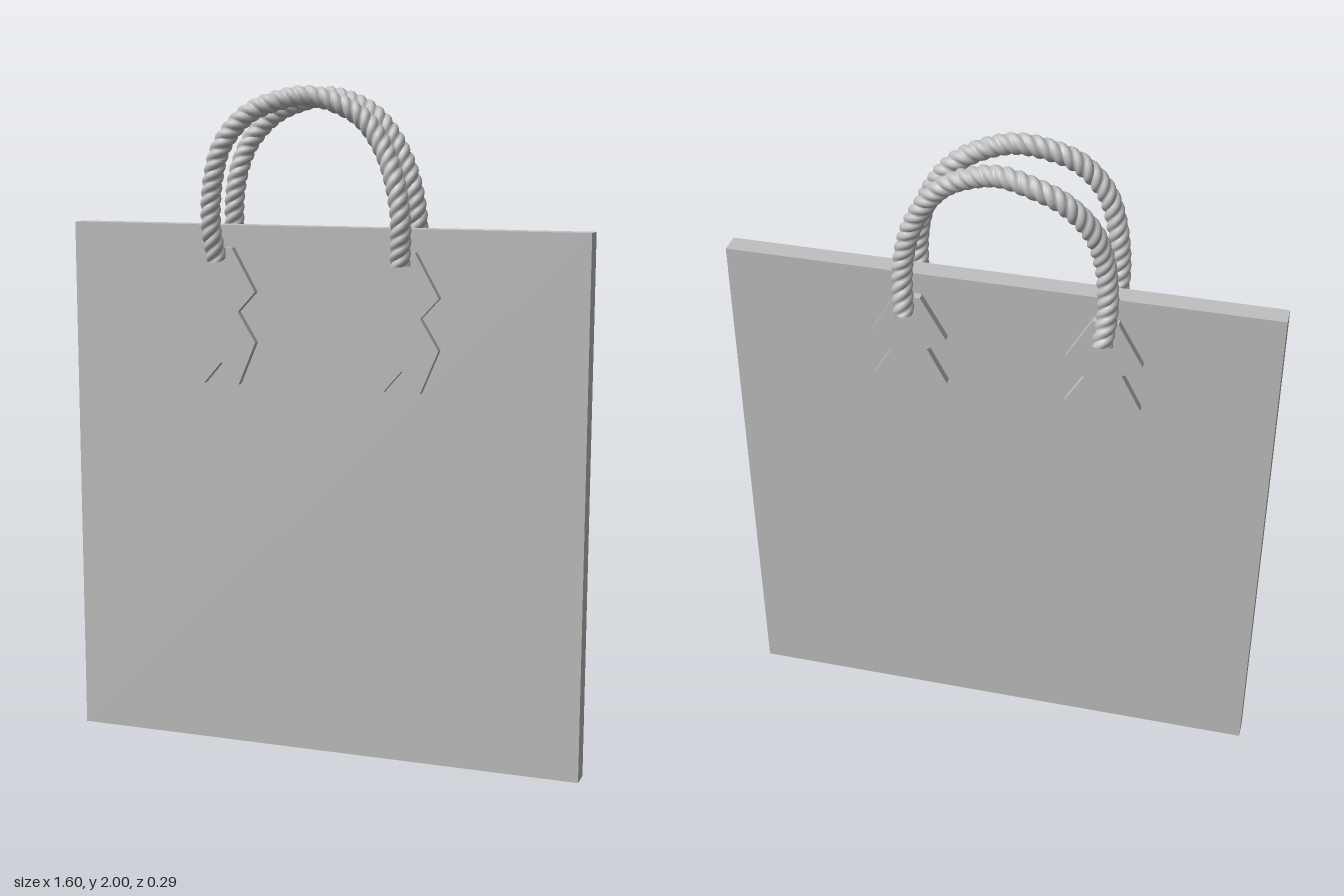
import * as THREE from 'three';

const grey = new THREE.MeshStandardMaterial({ color: 0xc0c0c0 });
grey.name = 'plain grey';

const ROPE_RADIUS = 0.03;
const STRANDS = 3;
const TURNS = 13;

function addMesh(parent, geometry, name) {
  const mesh = new THREE.Mesh(geometry, grey);
  mesh.name = name;
  parent.add(mesh);
  return mesh;
}

// Jagged tag that holds a rope end, running through the panel to both faces
function tagGeometry() {
  const outline = [
    [-0.037, 1.53], [-0.11, 1.4], [-0.053, 1.36], [-0.11, 1.25],
    [-0.056, 1.122], [0, 1.187], [0.056, 1.122],
    [0.11, 1.25], [0.055, 1.34], [0.11, 1.4], [0.037, 1.53],
  ];
  const shape = new THREE.Shape(outline.map(([x, y]) => new THREE.Vector2(x, y)));
  const geometry = new THREE.ExtrudeGeometry(shape, { depth: 0.108, bevelEnabled: false });
  return geometry.translate(0, 0, -0.056);
}

// Rope: a tube whose round section becomes lobed strands twisting along the path
function makeRope(points, name) {
  const rope = new THREE.Group();
  rope.name = name;
  const curve = new THREE.CatmullRomCurve3(points.map((p) => new THREE.Vector3(...p)));
  const segments = 480;
  const sides = 18;
  const geometry = new THREE.TubeGeometry(curve, segments, 1, sides, false);
  const position = geometry.attributes.position;
  const spoke = new THREE.Vector3();
  for (let i = 0; i <= segments; i++) {
    const u = i / segments;
    const centre = curve.getPointAt(u);
    const tangent = curve.getTangentAt(u);
    for (let j = 0; j <= sides; j++) {
      const k = i * (sides + 1) + j;
      const lobe = Math.abs(Math.sin((STRANDS * Math.PI * j) / sides));
      spoke.fromBufferAttribute(position, k).sub(centre).normalize();
      spoke.applyAxisAngle(tangent, u * TURNS * Math.PI * 2);
      spoke.multiplyScalar(ROPE_RADIUS * (0.8 + 0.22 * lobe)).add(centre);
      position.setXYZ(k, spoke.x, spoke.y, spoke.z);
    }
  }
  geometry.computeVertexNormals();
  addMesh(rope, geometry, 'twistedRope');

  // Flat cut ends
  for (const u of [0, 1]) {
    const cap = addMesh(rope, new THREE.CircleGeometry(ROPE_RADIUS * 0.93, sides), 'ropeEnd');
    const outward = curve.getTangentAt(u).multiplyScalar(u ? 1 : -1);
    cap.position.copy(curve.getPointAt(u));
    cap.quaternion.setFromUnitVectors(new THREE.Vector3(0, 0, 1), outward);
  }
  return rope;
}

export function createModel() {
  const model = new THREE.Group();
  model.name = 'carrierBag';

  // Flat bag body
  const body = addMesh(model, new THREE.BoxGeometry(1.595, 1.595, 0.062), 'bagBody');
  body.position.set(-0.002, 0.7975, -0.002);

  // Two tags, showing on the front and the back
  for (const [x, name] of [[-0.31, 'rightTag'], [0.255, 'leftTag']]) {
    addMesh(model, tagGeometry(), name).position.x = x;
  }

  // Arch seen from the front, with its own sway in depth for each handle
  const arch = [
    [-0.313, 1.495], [-0.32, 1.6], [-0.304, 1.735], [-0.27, 1.835], [-0.2, 1.915],
    [-0.12, 1.953], [-0.02, 1.97], [0.07, 1.947], [0.14, 1.905], [0.2, 1.83],
    [0.243, 1.735], [0.263, 1.63], [0.257, 1.495],
  ];
  const sway = {
    frontHandle: [0.07, 0.095, 0.112, 0.118, 0.112, 0.1, 0.085, 0.073, 0.066, 0.075, 0.095, 0.1, 0.08],
    backHandle: [-0.115, -0.085, -0.075, -0.09, -0.108, -0.112, -0.1, -0.09, -0.078, -0.068, -0.062, -0.065, -0.09],
  };
  for (const [name, depths] of Object.entries(sway)) {
    model.add(makeRope(arch.map(([x, y], i) => [x, y, depths[i]]), name));
  }
  return model;
}
